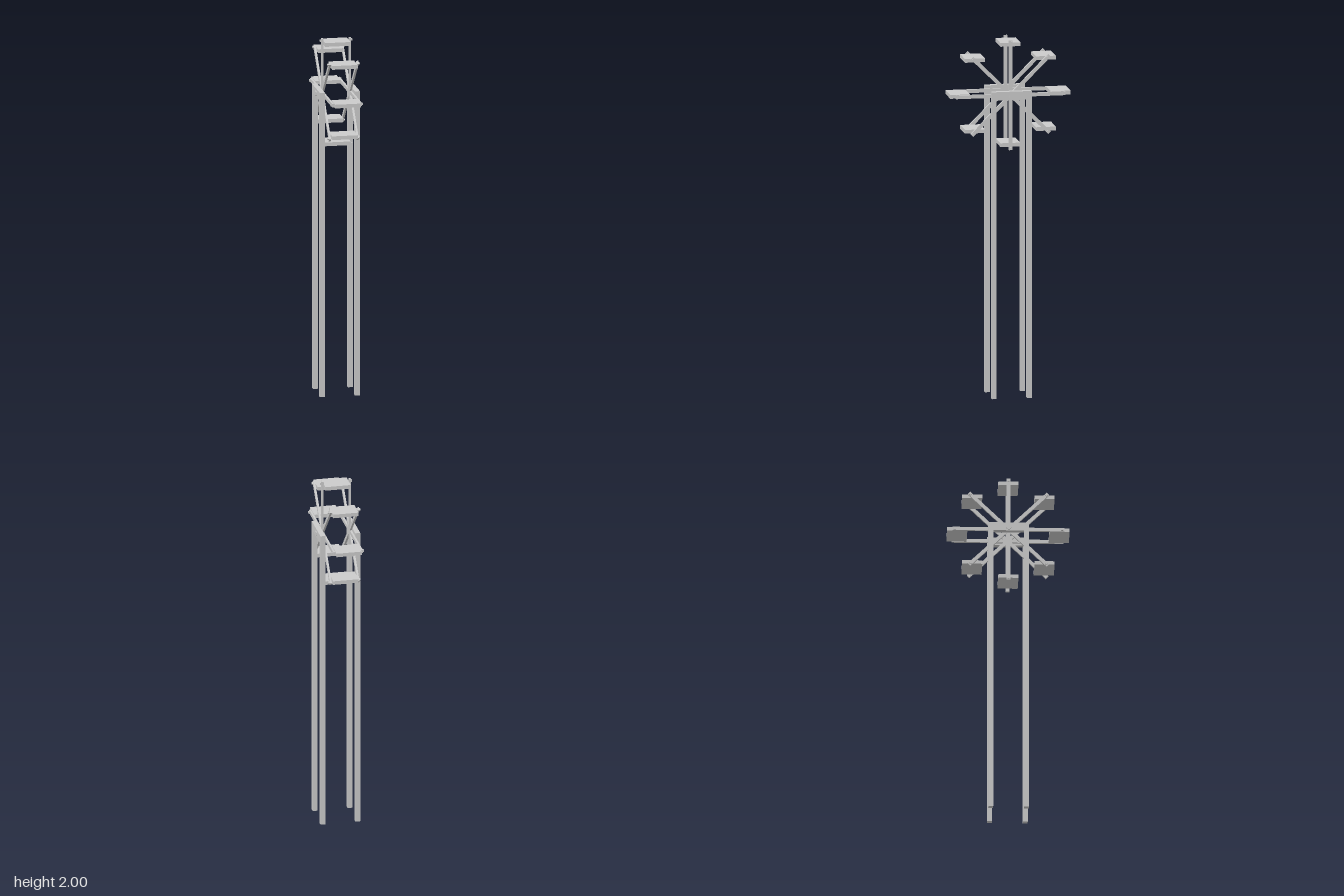
import * as THREE from 'three';

const material = new THREE.MeshStandardMaterial({ color: 0xcccccc, flatShading: true });
const HUB_Y = 1.693;

function box(parent, name, size, position) {
  const mesh = new THREE.Mesh(new THREE.BoxGeometry(...size), material);
  mesh.name = name;
  mesh.position.set(...position);
  parent.add(mesh);
  return mesh;
}

export function createModel() {
  const model = new THREE.Group();
  model.name = 'paddleWheelTower';

  // Two portal frames, each with two tall posts and a crossbeam
  for (const side of [1, -1]) {
    const frame = new THREE.Group();
    frame.name = side > 0 ? 'leftFrame' : 'rightFrame';
    for (const z of [0.098, -0.098]) {
      box(frame, 'post', [0.028, 1.672, 0.027], [side * 0.098, 0.836, z]);
    }
    box(frame, 'crossbeam', [0.028, 0.048, 0.223], [side * 0.098, 1.696, 0]);
    // Short axle stub through the beam
    const axle = new THREE.Mesh(new THREE.CylinderGeometry(0.016, 0.016, 0.044, 8), material);
    axle.name = 'axleStub';
    axle.rotation.set(Math.PI / 8, 0, Math.PI / 2);
    axle.position.set(side * 0.094, HUB_Y, 0);
    frame.add(axle);
    model.add(frame);
  }

  const wheel = new THREE.Group();
  wheel.name = 'wheel';
  wheel.position.y = HUB_Y;
  model.add(wheel);

  // Full-diameter spokes on both sides, with a peg near each tip
  for (let i = 0; i < 4; i++) {
    const arm = new THREE.Group();
    arm.name = 'spokePair';
    arm.rotation.x = (i * Math.PI) / 4;
    for (const side of [1, -1]) {
      box(arm, 'spoke', [0.011, 0.614, 0.02], [side * 0.0775, 0, 0]);
      for (const end of [1, -1]) {
        box(arm, 'peg', [0.02, 0.012, 0.012], [side * 0.08, end * 0.295, 0]);
      }
    }
    wheel.add(arm);
  }

  // Eight platforms that stay level around the rim
  for (let i = 0; i < 8; i++) {
    const a = (i * Math.PI) / 4;
    box(wheel, 'platform', [0.143, 0.021, 0.111],
      [0, 0.281 * Math.cos(a) + 0.002, 0.281 * Math.sin(a)]);
  }

  return model;
}
